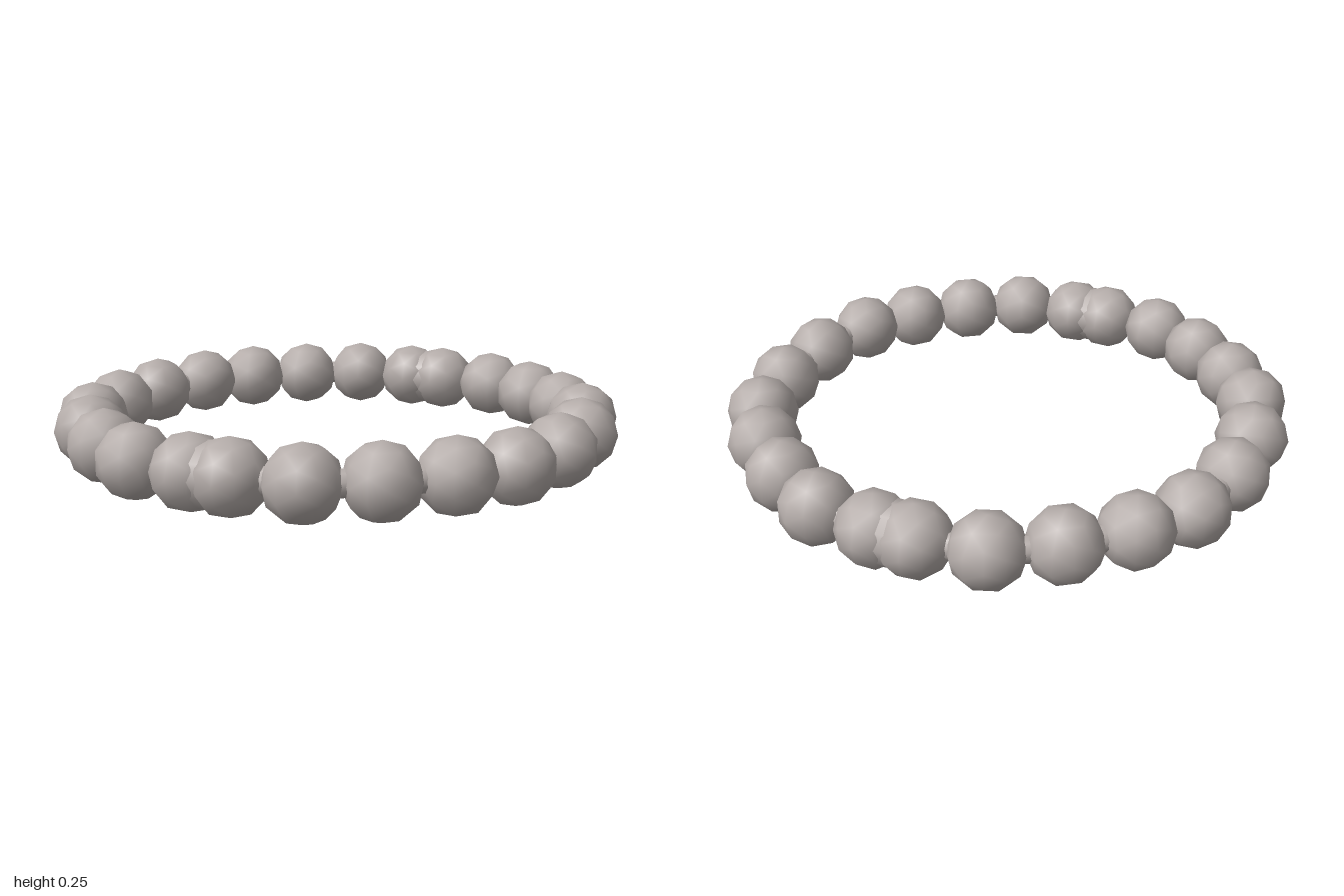
import * as THREE from 'three';

export function createModel() {
  const group = new THREE.Group();
  group.name = 'beadBracelet';
  const stone = new THREE.MeshStandardMaterial({ color: 0xb5adaa });
  stone.name = 'warm grey stone';

  const radius = 0.127;

  // Bead centres (x, z) of one quarter, mirrored around the ring
  const quarter = [[0.07, 0.873], [0.295, 0.84], [0.497, 0.72], [0.67, 0.563], [0.797, 0.38], [0.86, 0.13]];
  const flipped = [...quarter].reverse();
  const ring = [
    ...quarter,
    ...flipped.map(([x, z]) => [x, -z]),
    ...quarter.map(([x, z]) => [-x, -z]),
    ...flipped.map(([x, z]) => [-x, z]),
  ].map(([x, z]) => new THREE.Vector3(x, radius, z));

  // Faceted-outline beads with smooth shading, each turned to face outwards
  const beadGeometry = new THREE.IcosahedronGeometry(radius, 1);
  ring.forEach((centre, i) => {
    const bead = new THREE.Mesh(beadGeometry, stone);
    bead.name = `bead${i + 1}`;
    bead.position.copy(centre);
    bead.rotation.y = Math.atan2(centre.x, centre.z);
    group.add(bead);
  });

  // Cord that forms the narrow necks between beads
  const path = new THREE.CatmullRomCurve3(ring, true);
  const cord = new THREE.Mesh(new THREE.TubeGeometry(path, 120, 0.045, 10, true), stone);
  cord.name = 'cord';
  group.add(cord);

  // Short sleeves that fill the joint of the two close pairs
  for (const side of [1, -1]) {
    const sleeve = new THREE.Mesh(new THREE.CylinderGeometry(0.108, 0.108, 0.09, 12, 1), stone);
    sleeve.name = side > 0 ? 'frontSleeve' : 'backSleeve';
    sleeve.rotation.z = Math.PI / 2;
    sleeve.position.set(0, radius, side * 0.873);
    group.add(sleeve);
  }
  return group;
}
